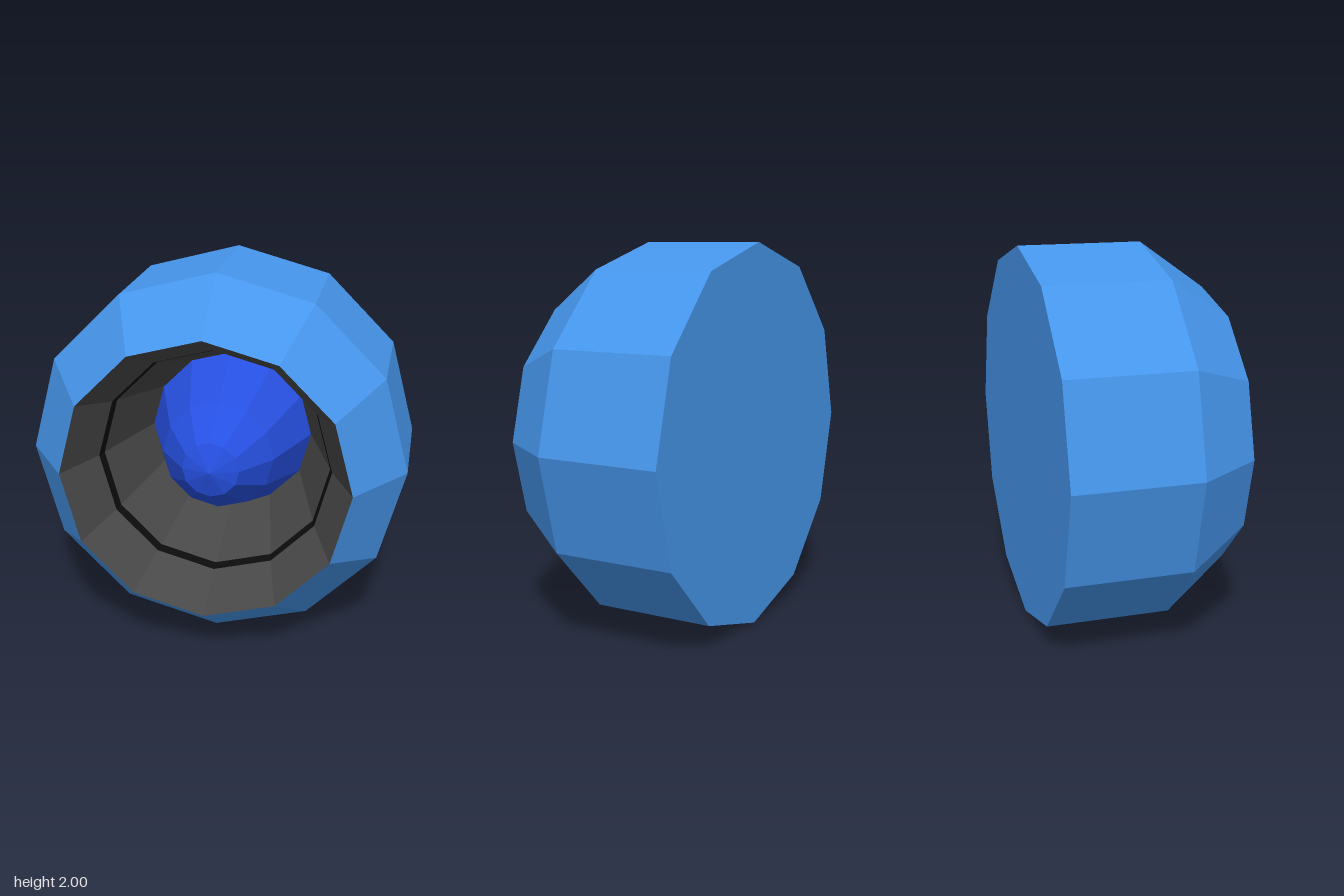
import * as THREE from 'three';

const SIDES = 12;

// Faceted part turned around the z axis from [radius, z] pairs
function turned(name, profile, color) {
  const geometry = new THREE.LatheGeometry(
    profile.map(([r, z]) => new THREE.Vector2(r, z)), SIDES);
  geometry.rotateX(Math.PI / 2);
  const material = new THREE.MeshStandardMaterial({ color, flatShading: true });
  const mesh = new THREE.Mesh(geometry, material);
  mesh.name = name;
  mesh.position.y = 1;
  return mesh;
}

export function createModel() {
  const group = new THREE.Group();
  group.name = 'speaker';

  // Closed back, straight wall and tapered front
  group.add(turned('housing', [[0, -0.5], [1, -0.5], [1, 0.15], [0.75, 0.5]], 0x4696ec));

  // Dark funnel, split by a thin black band
  group.add(turned('outerCone', [[0.75, 0.5], [0.62, 0.22]], 0x484848));
  group.add(turned('coneBand', [[0.62, 0.22], [0.605, 0.17]], 0x0c0c0c));
  group.add(turned('innerCone', [[0.605, 0.17], [0.45, -0.3], [0, -0.3]], 0x484848));

  // Pointed dome standing in the middle of the funnel
  group.add(turned('centreDome', [[0.45, -0.3], [0.3, 0.1], [0.15, 0.3], [0, 0.35]], 0x2650e2));

  return group;
}
